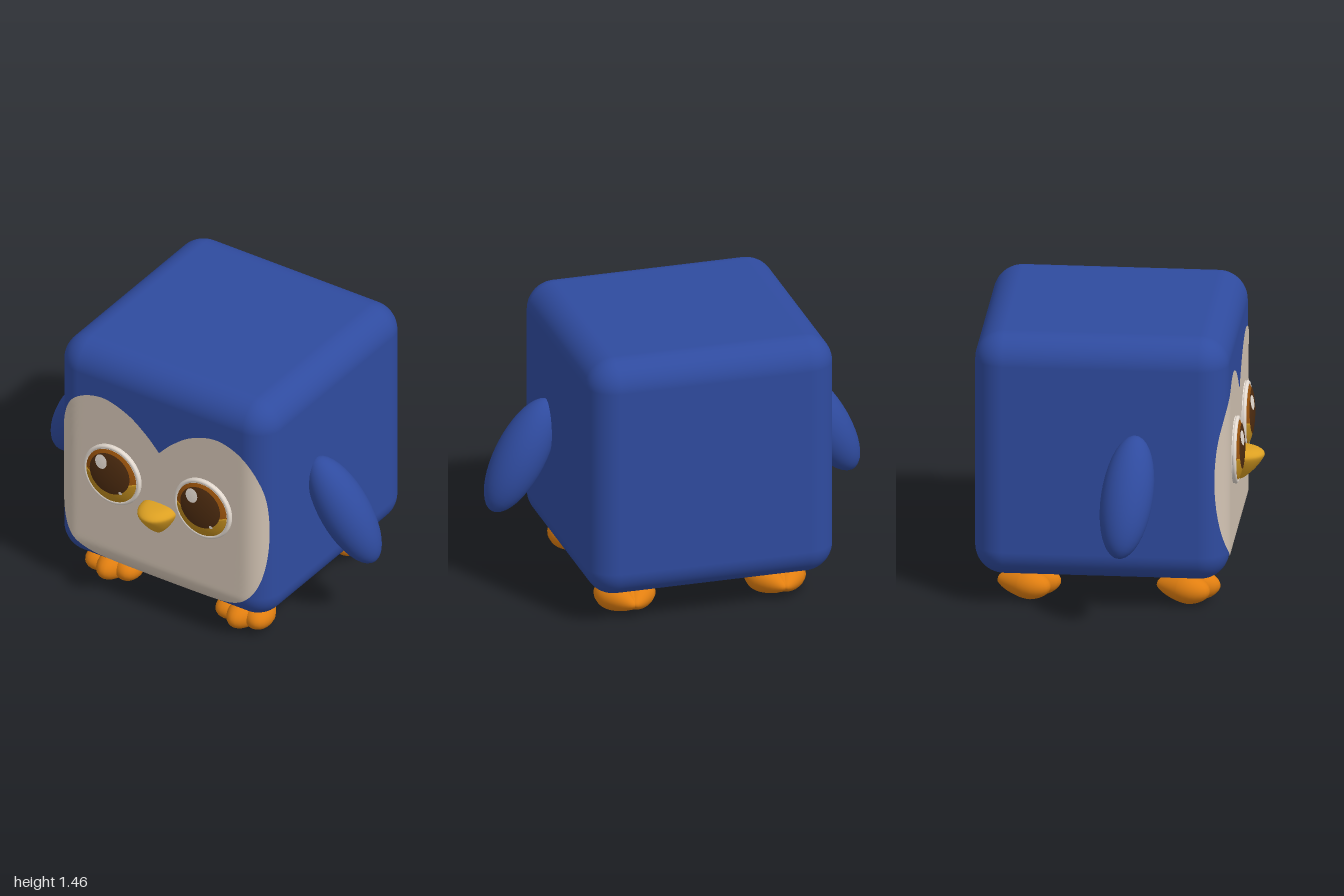
import * as THREE from 'three';
import { RoundedBoxGeometry } from 'three/addons/geometries/RoundedBoxGeometry.js';

const mat = (name, color) => {
  const m = new THREE.MeshStandardMaterial({ color });
  m.name = name;
  return m;
};

// Body: a rounded cube
const W = 1.31, H = 1.3, R = 0.15, CY = 0.815, CZ = -0.065;
const FRONT = CZ + H / 2;
const bodySurface = (x, y) => {
  const dx = Math.max(Math.abs(x) - (W / 2 - R), 0);
  const dy = Math.max(Math.abs(y - CY) - (H / 2 - R), 0);
  return FRONT - R + Math.sqrt(Math.max(R * R - dx * dx - dy * dy, 0));
};

// Eyeball: a shallow dome
const EYE_R = 0.172, EYE_D = 0.05;
const eyeSurface = (x, y) => EYE_D * Math.sqrt(Math.max(1 - (x * x + y * y) / EYE_R ** 2, 0));

// Thin patch of concentric rings laid on a surface; outline runs counter-clockwise
function patch(outline, cx, cy, surface, lift, rings = 12) {
  const n = outline.length, pos = [cx, cy, surface(cx, cy) + lift], idx = [];
  for (let r = 1; r <= rings; r++) {
    const t = r / rings;
    for (const p of outline) {
      const x = cx + (p.x - cx) * t, y = cy + (p.y - cy) * t;
      pos.push(x, y, surface(x, y) + lift);
    }
  }
  for (let i = 0; i < n; i++) {
    const j = (i + 1) % n;
    idx.push(0, 1 + i, 1 + j);
    for (let r = 1; r < rings; r++) {
      const a = 1 + (r - 1) * n, b = a + n;
      idx.push(a + i, b + i, b + j, a + i, b + j, a + j);
    }
  }
  const g = new THREE.BufferGeometry();
  g.setAttribute('position', new THREE.Float32BufferAttribute(pos, 3));
  g.setIndex(idx);
  g.computeVertexNormals();
  return g;
}

function arc(cx, cy, rx, ry = rx, from = 0, to = Math.PI * 2, n = 48) {
  return Array.from({ length: n }, (_, i) => {
    const a = from + ((to - from) * i) / (to - from > 6 ? n : n - 1);
    return new THREE.Vector2(cx + rx * Math.cos(a), cy + ry * Math.sin(a));
  });
}

// Heart-topped face outline, one half mirrored
function faceOutline() {
  const half = new THREE.SplineCurve([
    [0, 0.203], [0.31, 0.217], [0.47, 0.262], [0.575, 0.36], [0.622, 0.53], [0.631, 0.79],
    [0.604, 1.0], [0.52, 1.155], [0.36, 1.217], [0.2, 1.175], [0.08, 1.09], [0, 1.008],
  ].map(([x, y]) => new THREE.Vector2(x, y))).getPoints(66);
  const mirrored = half.slice(1, -1).reverse().map((p) => new THREE.Vector2(-p.x, p.y));
  return [...half, ...mirrored];
}

// One toe: heel at the origin, widening towards +z
function toeGeometry(rx, ry, length) {
  const g = new THREE.SphereGeometry(1, 24, 18);
  const p = g.attributes.position;
  for (let i = 0; i < p.count; i++) {
    const z = p.getZ(i);
    const k = 1 + 0.3 * Math.min(z - 0.3, 0);
    p.setXYZ(i, p.getX(i) * rx * k, p.getY(i) * ry * k, ((z + 1) * length) / 2);
  }
  g.computeVertexNormals();
  return g;
}

export function createModel() {
  const blue = mat('blue feathers', 0x2f4b9f);
  const cream = mat('cream face', 0xd3c4b4);
  const white = mat('eye white', 0xe6dcd2);
  const darkOrange = mat('upper iris', 0x9c540c);
  const amber = mat('lower iris', 0xc08c1e);
  const brown = mat('pupil brown', 0x4e2c10);
  const gold = mat('beak gold', 0xdca022);
  const orange = mat('foot orange', 0xe27f10);

  const model = new THREE.Group();
  model.name = 'cubeBird';
  const add = (parent, name, geometry, material) => {
    const m = new THREE.Mesh(geometry, material);
    m.name = name;
    parent.add(m);
    return m;
  };

  add(model, 'body', new RoundedBoxGeometry(W, H, H, 8, R), blue).position.set(0, CY, CZ);
  add(model, 'face', patch(faceOutline(), 0, 0.7, bodySurface, 0.005, 30), cream);

  // Eyes: dome, rim, iris, pupil and glints
  for (const [side, name] of [[1, 'leftEye'], [-1, 'rightEye']]) {
    const eye = new THREE.Group();
    eye.name = name;
    eye.position.set(side * 0.278, 0.78, FRONT + 0.002);
    model.add(eye);
    add(eye, 'eyeball', new THREE.SphereGeometry(1, 48, 24), white).scale.set(EYE_R, EYE_R, EYE_D);
    const rim = add(eye, 'eyeRim', new THREE.TorusGeometry(0.162, 0.012, 10, 48), white);
    rim.position.z = 0.015;
    add(eye, 'upperIris', patch(arc(0, 0, 0.153), 0, 0, eyeSurface, 0.002), darkOrange);
    add(eye, 'lowerIris', patch(arc(0, 0, 0.153, 0.153, Math.PI, Math.PI * 2), 0, -0.06, eyeSurface, 0.004), amber);
    add(eye, 'pupil', patch(arc(0, 0.02, 0.122, 0.116), 0, 0.02, eyeSurface, 0.006), brown);
    add(eye, 'glint', patch(arc(-0.048, 0.08, 0.038), -0.048, 0.08, eyeSurface, 0.008, 4), white);
    add(eye, 'smallGlint', patch(arc(0.07, -0.072, 0.01), 0.07, -0.072, eyeSurface, 0.008, 2), white);
  }

  // Beak: turned drop, stretched forward
  const beakProfile = new THREE.SplineCurve([
    [0, 0.528], [0.022, 0.538], [0.063, 0.585], [0.098, 0.645], [0.1, 0.675], [0.065, 0.698], [0, 0.703],
  ].map(([x, y]) => new THREE.Vector2(x, y))).getPoints(24);
  beakProfile.forEach((p) => { p.x = Math.max(p.x, 0); });
  const beak = add(model, 'beak', new THREE.LatheGeometry(beakProfile, 32), gold);
  beak.scale.z = 1.3;
  beak.position.z = FRONT;

  // Wings: tilted ellipsoids
  for (const [side, name] of [[1, 'leftWing'], [-1, 'rightWing']]) {
    const wing = add(model, name, new THREE.SphereGeometry(1, 28, 20), blue);
    wing.scale.set(0.132, 0.322, 0.133);
    wing.position.set(side * 0.8, 0.685, 0.088);
    const axis = new THREE.Vector3(-side * 0.5, 0.86, 0.1).normalize();
    wing.quaternion.setFromUnitVectors(new THREE.Vector3(0, 1, 0), axis);
  }

  // Feet: three toes fanned from the heel
  const middleToe = toeGeometry(0.082, 0.084, 0.325);
  const sideToe = toeGeometry(0.088, 0.079, 0.3);
  for (const [z, end] of [[0.205, 'front'], [-0.61, 'back']]) {
    for (const [side, name] of [[1, 'Left'], [-1, 'Right']]) {
      const foot = new THREE.Group();
      foot.name = `${end}${name}Foot`;
      foot.position.set(side * 0.4, 0.087, z);
      model.add(foot);
      add(foot, 'middleToe', middleToe, orange);
      for (const s of [-1, 1]) add(foot, 'sideToe', sideToe, orange).rotation.y = s * 0.4;
    }
  }
  return model;
}
